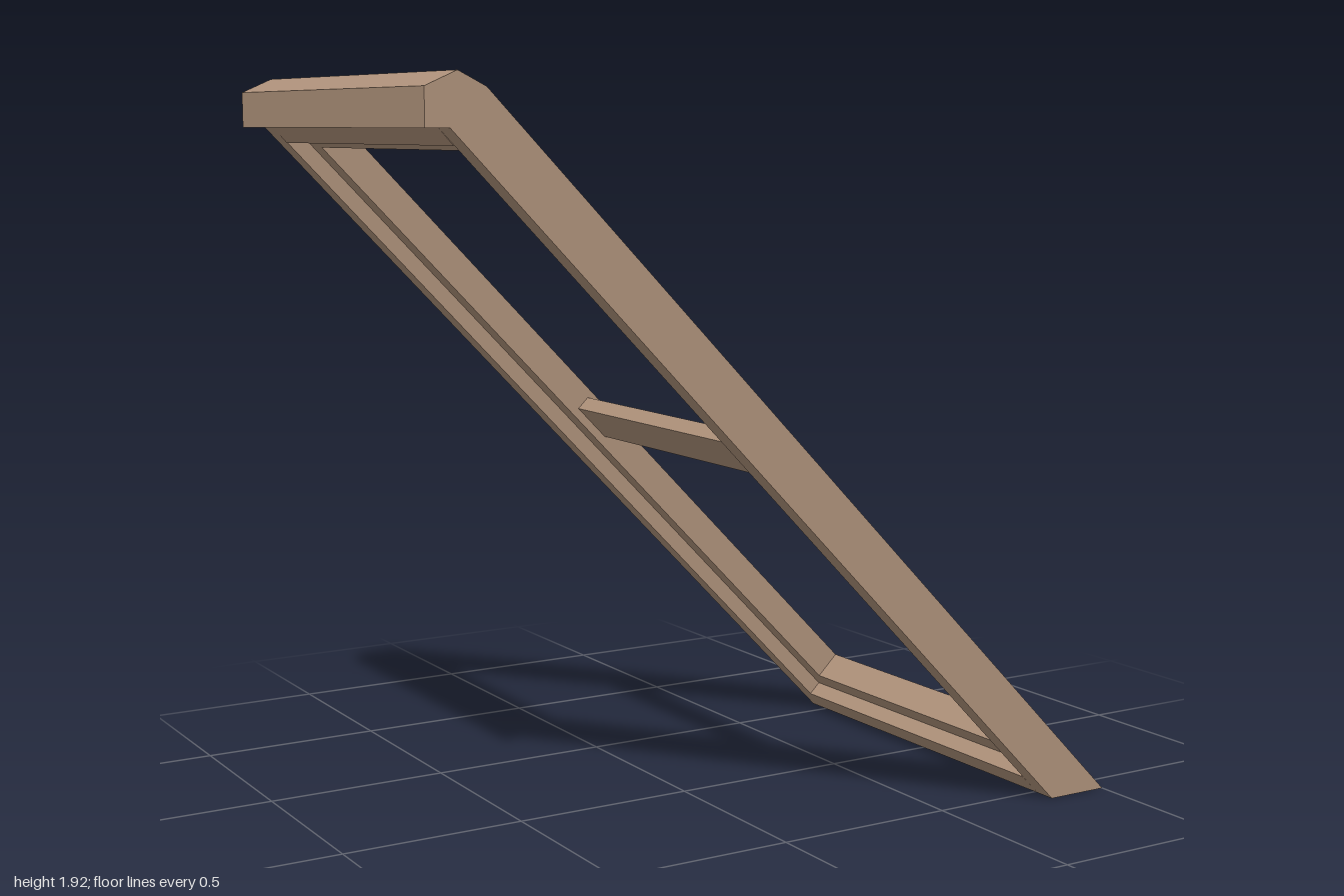
import * as THREE from 'three';

// Point on the slope: u runs up the incline from the front foot, d goes down into the thickness
const P = (u, d) => [1 - 0.6995 * u - 0.7146 * d, 0.7146 * u - 0.6995 * d];

const DEPTH = 0.129;          // full thickness of the frame
const LIP = 0.085;            // thickness of the lip above the rear rebate
const OPEN = [0.258, 2.53];   // ends of the opening
const REBATE = [0.2, 2.59];   // ends of the rebate
const Z_OUT = 0.57, Z_REBATE = 0.51, Z_OPEN = 0.45;

export function createModel() {
  const model = new THREE.Group();
  const wood = new THREE.MeshStandardMaterial({ color: 0xae917a });
  wood.name = 'brown wood';

  // Side profile pulled out between two z positions
  const part = (name, points, z0, z1) => {
    const shape = new THREE.Shape(points.map(([x, y]) => new THREE.Vector2(x, y)));
    const geometry = new THREE.ExtrudeGeometry(shape, { depth: z1 - z0, bevelEnabled: false });
    geometry.translate(0, 0, z0);
    const mesh = new THREE.Mesh(geometry, wood);
    mesh.name = name;
    model.add(mesh);
  };

  // Hooked head shared by the side rails and the top rail
  const head = [[-0.85, 1.89], [-0.92, 1.925], [-1, 1.89], [-1, 1.8], [-0.94, 1.8]];

  const side = [[1, 0], ...head, [0.82, 0]];
  const lip = [P(OPEN[0], 0), P(OPEN[1], 0), P(OPEN[1], LIP), P(OPEN[0], LIP)];
  for (const [label, s] of [['left', 1], ['right', -1]]) {
    const span = (a, b) => (s > 0 ? [a, b] : [-b, -a]);
    part(label + 'SideRail', side, ...span(Z_REBATE, Z_OUT));
    part(label + 'SideLip', lip, ...span(Z_OPEN, Z_REBATE));
  }

  // End rails, stepped at the back for the rebate
  part('bottomRail', [
    [1, 0], P(OPEN[0], 0), P(OPEN[0], LIP), P(REBATE[0], LIP), P(REBATE[0], DEPTH), [0.82, 0],
  ], -Z_REBATE, Z_REBATE);
  part('topRail', [
    P(OPEN[1], 0), ...head, P(REBATE[1], DEPTH), P(REBATE[1], LIP), P(OPEN[1], LIP),
  ], -Z_REBATE, Z_REBATE);

  // Thin bar across the middle, set just below the face
  part('crossbar', [P(1.357, 0.02), P(1.478, 0.02), P(1.478, 0.062), P(1.357, 0.062)], -Z_OPEN, Z_OPEN);

  return model;
}
